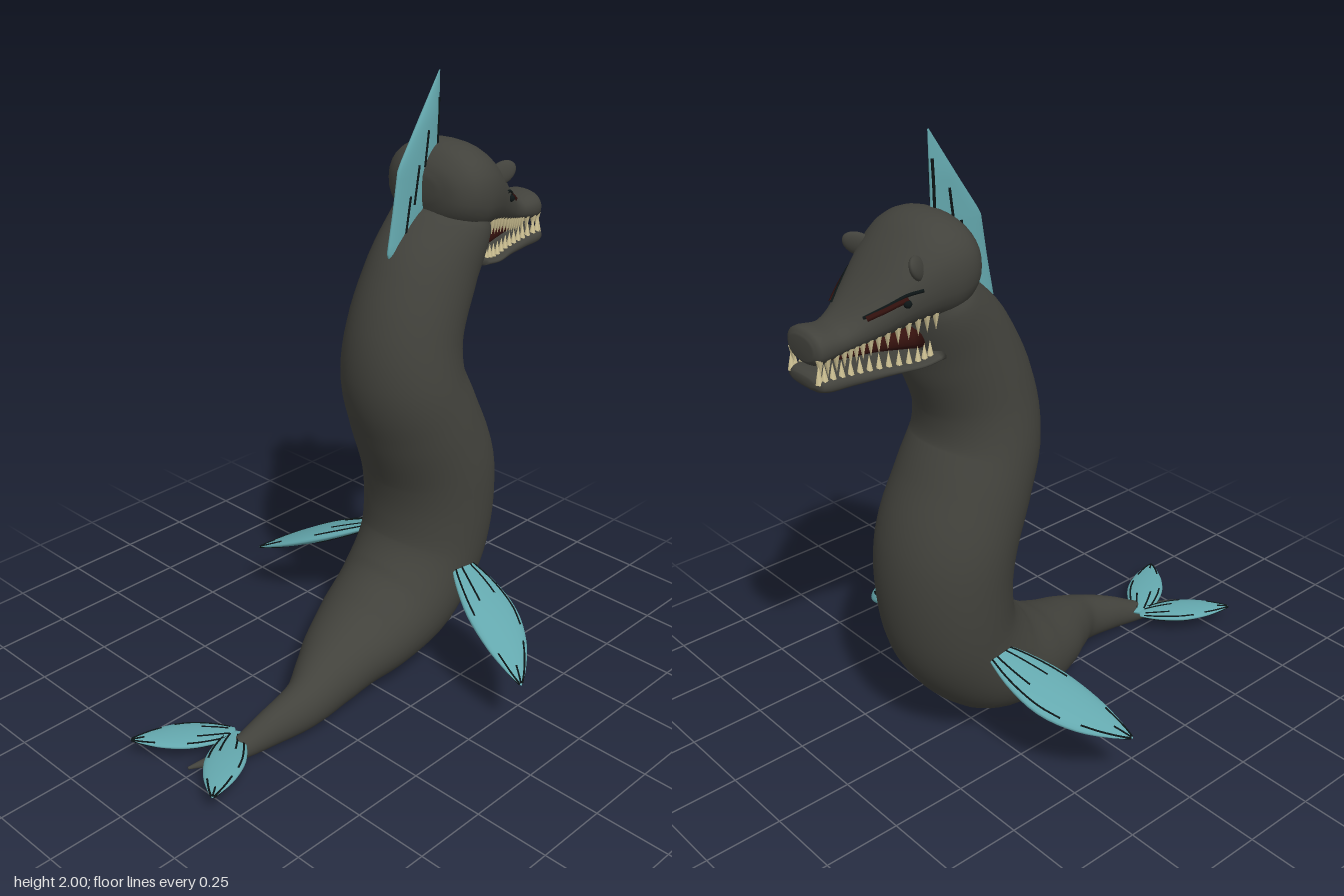
import * as THREE from 'three';

const mat = (name, color) => {
  const m = new THREE.MeshStandardMaterial({ color });
  m.name = name;
  return m;
};
const V = (x, y, z) => new THREE.Vector3(x, y, z);

// Skin closed rings of points, capped at both ends
function loft(rings) {
  const n = rings[0].length, pos = [], idx = [];
  rings.forEach(r => r.forEach(p => pos.push(p.x, p.y, p.z)));
  for (let i = 0; i < rings.length - 1; i++) for (let j = 0; j < n; j++) {
    const a = i * n + j, b = i * n + (j + 1) % n;
    idx.push(a, b, a + n, b, b + n, a + n);
  }
  [0, rings.length - 1].forEach((r, end) => {
    const c = rings[r].reduce((s, p) => s.add(p), V(0, 0, 0)).divideScalar(n);
    const ci = pos.length / 3;
    pos.push(c.x, c.y, c.z);
    for (let j = 0; j < n; j++) {
      const a = r * n + j, b = r * n + (j + 1) % n;
      if (end) idx.push(ci, a, b); else idx.push(ci, b, a);
    }
  });
  const g = new THREE.BufferGeometry();
  g.setAttribute('position', new THREE.Float32BufferAttribute(pos, 3));
  g.setIndex(idx);
  g.computeVertexNormals();
  return g;
}

// Rows of [z, top, bottom, halfWidth], front to back; returns a surface sampler
function section(rows, power) {
  const a = new THREE.CatmullRomCurve3(rows.map(r => V(r[0], r[1], r[2])));
  const b = new THREE.CatmullRomCurve3(rows.map(r => V(r[3], r[0], 0)));
  const soft = v => Math.sign(v) * Math.abs(v) ** power;
  const last = rows.length - 1;
  const point = (k, ang) => {
    const p = a.getPoint(k / last), w = b.getPoint(k / last).x;
    return V(w * soft(Math.cos(ang)), (p.y + p.z) / 2 + (p.y - p.z) / 2 * soft(Math.sin(ang)), p.x);
  };
  const rings = [];
  for (let i = 0; i <= last * 4; i++)
    rings.push(Array.from({ length: 32 }, (_, j) => point(i / 4, j / 32 * Math.PI * 2)));
  return { point, geometry: loft(rings) };
}

export function createModel() {
  const root = new THREE.Group();
  root.name = 'seaSerpent';
  const skin = mat('charcoal skin', 0x42423c);
  const teal = mat('teal fin', 0x64a8ae);
  const black = mat('black markings', 0x0d1516);
  const ivory = mat('ivory teeth', 0xd2c596);
  const red = mat('dark red mouth', 0x35120e);
  const add = (parent, name, geo, m) => {
    const mesh = new THREE.Mesh(geo, m);
    mesh.name = name;
    parent.add(mesh);
    return mesh;
  };
  const tube = (pts, r) => new THREE.TubeGeometry(new THREE.CatmullRomCurve3(pts), 16, r, 5);

  // Body: x, y, z, half width, half depth from tail tip to neck
  const spine = [
    [0, .03, .74, .004, .004], [.04, .031, .6, .03, .031], [.07, .069, .45, .055, .063],
    [.083, .098, .32, .075, .086], [.058, .127, .2, .112, .11], [.03, .15, .09, .148, .127],
    [.01, .18, -.04, .185, .156], [0, .255, -.2, .21, .19], [0, .4, -.315, .22, .2],
    [0, .55, -.347, .23, .203], [0, .72, -.335, .235, .207], [0, .9, -.265, .225, .2],
    [0, 1.05, -.21, .21, .189], [0, 1.2, -.217, .19, .181], [0, 1.38, -.292, .178, .173],
    [0, 1.53, -.38, .176, .128], [0, 1.6, -.4, .14, .1],
  ];
  const path = new THREE.CatmullRomCurve3(spine.map(s => V(s[0], s[1], s[2])));
  const size = new THREE.CatmullRomCurve3(spine.map(s => V(s[3], s[4], 0)));
  const rings = [], steps = 80;
  for (let i = 0; i <= steps; i++) {
    const t = i / steps, c = path.getPoint(t), s = size.getPoint(t), d = path.getTangent(t);
    const u = V(1, 0, 0).addScaledVector(d, -d.x).normalize(), v = d.clone().cross(u);
    rings.push(Array.from({ length: 36 }, (_, j) => {
      const a = j / 36 * Math.PI * 2;
      return c.clone().addScaledVector(u, s.x * Math.cos(a)).addScaledVector(v, s.y * Math.sin(a));
    }));
  }
  add(root, 'body', loft(rings), skin);

  // Head, lower jaw and mouth lining
  const head = new THREE.Group();
  head.name = 'head';
  root.add(head);
  const skull = section([
    [-.803, 1.525, 1.46, .055], [-.787, 1.545, 1.445, .08], [-.71, 1.54, 1.455, .078],
    [-.66, 1.565, 1.463, .09], [-.6, 1.62, 1.473, .117], [-.52, 1.71, 1.485, .152],
    [-.45, 1.77, 1.49, .18], [-.39, 1.788, 1.49, .19], [-.33, 1.775, 1.52, .178],
    [-.29, 1.735, 1.56, .135], [-.272, 1.69, 1.62, .06],
  ], .88);
  const jaw = section([
    [-.805, 1.415, 1.39, .05], [-.79, 1.425, 1.375, .085], [-.7, 1.42, 1.37, .095],
    [-.6, 1.415, 1.375, .115], [-.5, 1.41, 1.385, .145], [-.43, 1.425, 1.39, .15],
  ], .75);
  const lining = section([
    [-.72, 1.47, 1.44, .045], [-.6, 1.485, 1.435, .075], [-.46, 1.5, 1.41, .1],
  ], .75);
  add(head, 'skull', skull.geometry, skin);
  add(head, 'lowerJaw', jaw.geometry, skin);
  add(head, 'mouthLining', lining.geometry, red);

  // Teeth, eyes and brows on both sides
  const tooth = new THREE.ConeGeometry(.012, .056, 6);
  for (const s of [1, -1]) {
    const mirror = p => V(p.x * s, p.y, p.z);
    for (let k = 1; k <= 5.9; k += .35) {
      const t = add(head, 'upperTooth', tooth, ivory);
      t.position.copy(mirror(skull.point(k, -.7)));
      t.position.y -= .014;
      t.rotation.x = Math.PI;
    }
    for (let k = .9; k <= 4.6; k += .28) {
      const t = add(head, 'lowerTooth', tooth, ivory);
      t.position.copy(mirror(jaw.point(k, .75)));
      t.position.y += .016;
    }
    const along = (lift, from, to) => [0, .25, .5, .75, 1].map(t => {
      const k = from + (to - from) * t;
      return mirror(skull.point(k, lift + (5.2 - k) * .3));
    });
    add(head, 'eyeSlit', tube(along(.12, 5.2, 3.2), .005), black);
    add(head, 'eyeSocket', tube(along(.02, 4.7, 3.3), .008), red);
    const eye = add(head, 'eye', new THREE.SphereGeometry(.012, 14, 10), black);
    eye.position.copy(mirror(skull.point(4.65, .08)));
    const brow = add(head, 'browRidge', new THREE.SphereGeometry(1, 18, 12), skin);
    brow.position.copy(mirror(skull.point(5.2, .62)));
    brow.scale.set(.016, .034, .05);
    brow.rotation.set(.6, -.4 * s, .5 * s);
  }

  // Crest fin behind the head: rows of [y, back z, front z], with dark rays
  const crest = new THREE.Group();
  crest.name = 'crest';
  root.add(crest);
  const rows = [[1.45, -.14, -.19], [1.475, -.133, -.23], [1.6, -.155, -.33],
    [1.73, -.175, -.355], [1.87, -.268, -.355], [2, -.352, -.357]];
  const crestThick = .013;
  const span = y => {
    const i = Math.max(1, rows.findIndex(r => r[0] >= y)), [p, q] = [rows[i - 1], rows[i]];
    const t = (y - p[0]) / (q[0] - p[0]);
    const zb = p[1] + (q[1] - p[1]) * t, zf = p[2] + (q[2] - p[2]) * t;
    return [(zb + zf) / 2, (zb - zf) / 2];
  };
  const crestRings = [];
  for (let i = 0; i <= 22; i++) {
    const y = 1.45 + .55 * i / 22, [c, h] = span(y);
    crestRings.push(Array.from({ length: 24 }, (_, j) => {
      const a = j / 24 * Math.PI * 2;
      return V(Math.min(crestThick, h * .3) * Math.sin(a), y, c + h * Math.cos(a));
    }));
  }
  add(crest, 'crestFin', loft(crestRings), teal);
  for (const [z0, y0, z1, y1] of [[-.348, 1.92, -.345, 1.78], [-.297, 1.83, -.283, 1.72],
    [-.258, 1.73, -.238, 1.61], [-.222, 1.64, -.197, 1.5]])
    for (const side of [1, -1]) {
      const pts = [0, .5, 1].map(t => {
        const y = y0 + (y1 - y0) * t, z = z0 + (z1 - z0) * t, [c, h] = span(y);
        const x = Math.min(crestThick, h * .3) * Math.sqrt(Math.max(0, 1 - ((z - c) / h) ** 2));
        return V(x * side, y, z);
      });
      add(crest, 'crestRay', tube(pts, .0045), black);
    }

  // Leaf-shaped fin with ribs, running from base to tip
  function leafFin(name, base, tip, up, width, thick, bow, side) {
    const holder = new THREE.Group(), fin = new THREE.Group();
    holder.name = name;
    holder.scale.x = side;
    holder.add(fin);
    root.add(holder);
    const X = tip.clone().sub(base), L = X.length();
    X.normalize();
    const Z = X.clone().cross(up).normalize(), Y = Z.clone().cross(X);
    fin.quaternion.setFromRotationMatrix(new THREE.Matrix4().makeBasis(X, Y, Z));
    fin.position.copy(base);
    const shape = new THREE.SplineCurve([[0, .35], [.2, .78], [.45, 1], [.7, .8], [.9, .36], [1, .02]]
      .map(p => new THREE.Vector2(...p)));
    const point = (t, a) => {
      const q = shape.getPoint(t);
      return V(q.x * L, thick * q.y * Math.cos(a),
        width * q.y * Math.sin(a) - bow * Math.sin(Math.PI * q.x));
    };
    const leaf = [];
    for (let i = 0; i <= 20; i++)
      leaf.push(Array.from({ length: 24 }, (_, j) => point(i / 20, j / 24 * Math.PI * 2)));
    add(fin, name + 'Blade', loft(leaf), teal);
    for (const [a, t0, t1] of [[.95, .06, .42], [-.95, .06, .5], [.4, .08, .34], [-.4, .08, .3],
      [.85, .66, .97], [-.85, .6, .97], [0, .76, .96]])
      for (const flip of [0, 1]) {
        const pts = [0, .25, .5, .75, 1].map(u =>
          point(t0 + (t1 - t0) * u, flip ? Math.PI - a : a));
        add(fin, name + 'Rib', tube(pts, .0032), black);
      }
  }
  for (const side of [1, -1]) {
    leafFin('flipper', V(.18, .4, -.31), V(.61, .205, -.115), V(.46, 1, 0), .095, .023, .022, side);
    leafFin('tailFluke', V(0, .06, .545), V(.195, .07, .808), V(0, 1, 0), .064, .015, 0, side);
  }
  return root;
}
